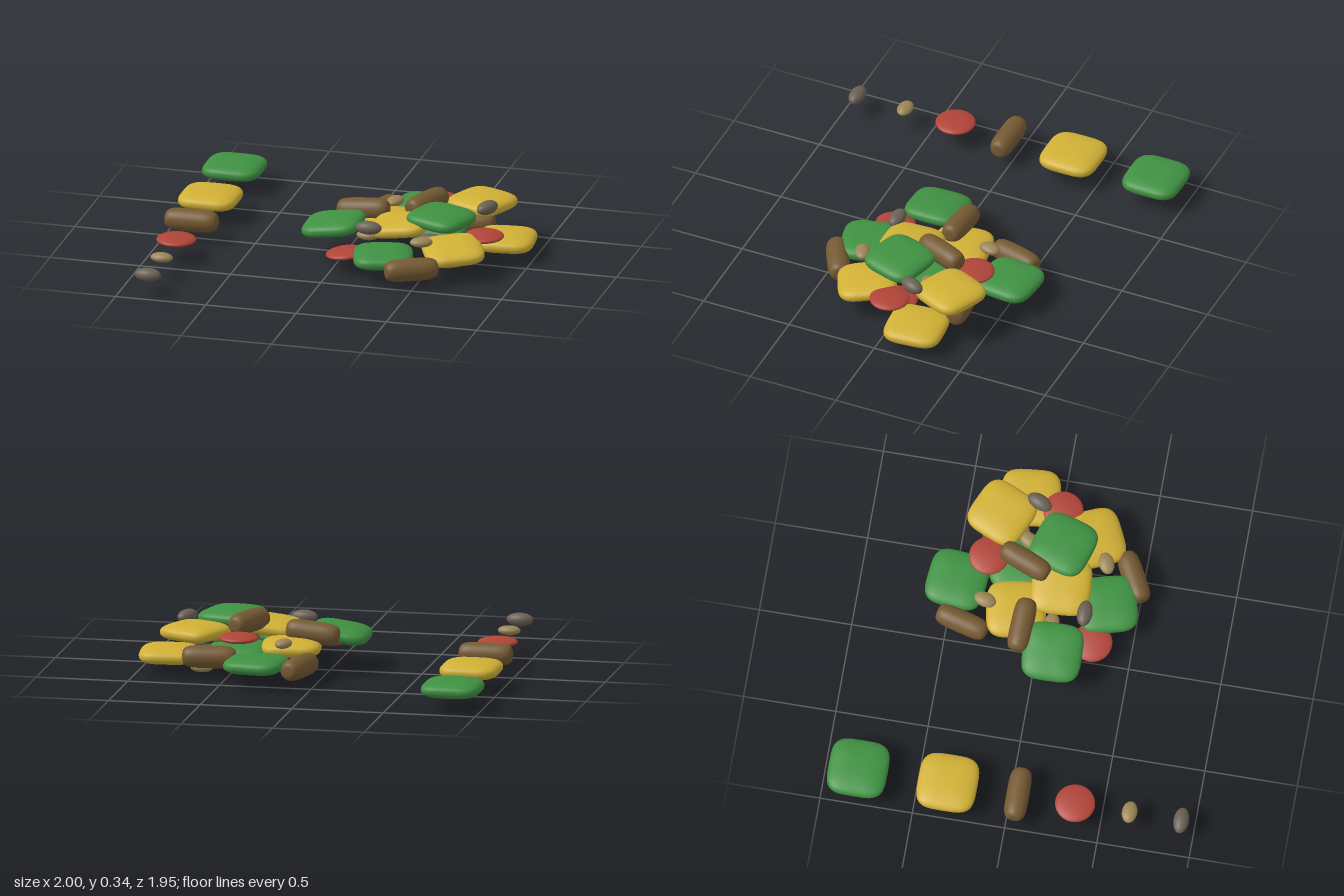
import * as THREE from 'three';
import { mergeVertices } from 'three/addons/utils/BufferGeometryUtils.js';

const spow = (v, e) => Math.sign(v) * Math.pow(Math.abs(v), e);

// Superellipsoid: "outline" squares the plan, "profile" squares the side section
function pebble(w, h, d, outline = 1, profile = 1) {
  const g = new THREE.SphereGeometry(1, 40, 24);
  const p = g.attributes.position;
  for (let i = 0; i < p.count; i++) {
    const x = p.getX(i), y = p.getY(i), z = p.getZ(i);
    const r = Math.hypot(x, z);
    const k = r < 1e-6 ? 0 : Math.pow(r, profile);
    const cx = r < 1e-6 ? 0 : x / r, cz = r < 1e-6 ? 0 : z / r;
    p.setXYZ(i, k * spow(cx, outline) * w / 2, spow(y, profile) * h / 2, k * spow(cz, outline) * d / 2);
  }
  g.deleteAttribute('uv');
  g.deleteAttribute('normal');
  const merged = mergeVertices(g, 1e-5);
  merged.computeVertexNormals();
  return merged;
}

export function createModel() {
  const group = new THREE.Group();
  const pillow = pebble(0.32, 0.096, 0.32, 0.52, 0.8);
  const rod = pebble(0.123, 0.29, 0.123, 1, 0.5).rotateZ(Math.PI / 2);

  // Each kind: geometry, colour, and places as [x, y, z, yaw, tilt about x, tilt about z];
  // the first place of each kind is the loose sample in the row
  const kinds = [
    { name: 'greenPillow', geometry: pillow, color: 0x3f9142, places: [
      [-0.84, 0.125, -0.82],
      [-0.04, 0.2, 0.095, 0.02, 0, 0.14],
      [0.305, 0.13, -0.48, -0.1],
      [0.545, 0.275, 0.055, -0.3, 0, -0.04],
      [0.30, 0.13, 0.335, 0.25],
      [0.46, 0.135, -0.17, 0.1],
    ] },
    { name: 'yellowPillow', geometry: pillow, color: 0xd0b035, places: [
      [-0.84, 0.125, -0.335],
      [0.675, 0.255, -0.30, -0.42],
      [0.84, 0.1, -0.175, 0.1],
      [0.65, 0.15, 0.2, 0.45, 0.12],
      [0.33, 0.225, 0.08, 0.05, 0, 0.12],
      [0.18, 0.16, -0.14, 0.15],
    ] },
    { name: 'brownRod', geometry: rod, color: 0x755a33, places: [
      [-0.84, 0.125, 0.045],
      [0.08, 0.11, -0.415, 1.3],
      [0.075, 0.23, -0.09, -0.05, 0, 0.1],
      [0.415, 0.285, -0.13, 1.18],
      [0.485, 0.11, 0.445, 0.48],
      [0.59, 0.125, -0.33, 0.1],
    ] },
    { name: 'redDisc', geometry: pebble(0.215, 0.05, 0.215), color: 0xb04438, places: [
      [-0.84, 0.125, 0.355],
      [0.43, 0.235, -0.33],
      [0.77, 0.18, 0.015],
      [0.08, 0.115, 0.29, 0, 0, 0.12],
      [0.58, 0.035, 0.05],
    ] },
    { name: 'tanBean', geometry: pebble(0.123, 0.052, 0.083), color: 0x9c8557, places: [
      [-0.84, 0.125, 0.65],
      [0.19, 0.21, -0.31, 1.3],
      [0.57, 0.19, -0.135, 1.0],
      [0.50, 0.215, 0.295, 0.4],
      [0.66, 0.035, -0.19, 0.1],
      [0.14, 0.14, 0.06],
    ] },
    { name: 'greyBean', geometry: pebble(0.145, 0.073, 0.083), color: 0x6b6055, places: [
      [-0.84, 0.125, 0.93],
      [0.19, 0.245, 0.23],
      [0.755, 0.295, -0.11, 1.14],
      [0.47, 0.12, 0.0],
    ] },
  ];

  for (const { name, geometry, color, places } of kinds) {
    const material = new THREE.MeshStandardMaterial({ color });
    places.forEach(([x, y, z, yaw = 0, tiltX = 0, tiltZ = 0], i) => {
      const mesh = new THREE.Mesh(geometry, material);
      mesh.name = i === 0 ? `${name}Sample` : `${name}${i}`;
      mesh.position.set(x, y, z);
      mesh.rotation.set(tiltX, yaw, tiltZ, 'XZY');
      group.add(mesh);
    });
  }
  return group;
}
